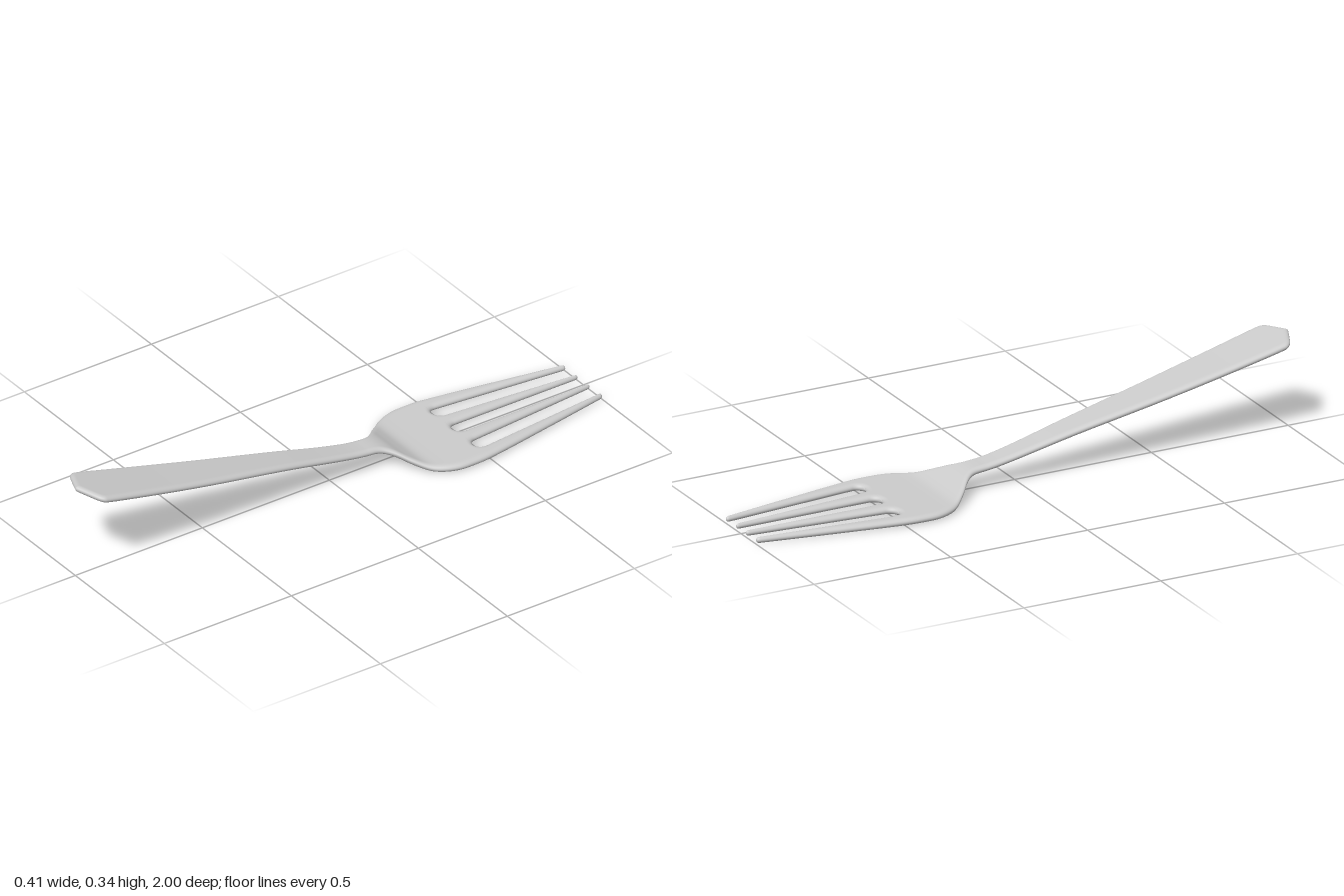
import * as THREE from 'three';
import { mergeVertices } from 'three/addons/utils/BufferGeometryUtils.js';

// smooth curve through [z, value] points, sorted by z
function curve(pts) {
  const slope = i => {
    const a = pts[Math.max(i - 1, 0)], b = pts[Math.min(i + 1, pts.length - 1)];
    return (b[1] - a[1]) / (b[0] - a[0]);
  };
  return z => {
    let i = 0;
    while (i < pts.length - 2 && z > pts[i + 1][0]) i++;
    const [z0, v0] = pts[i], [z1, v1] = pts[i + 1], d = z1 - z0, t = (z - z0) / d;
    const t2 = t * t, t3 = t2 * t;
    return v0 * (2 * t3 - 3 * t2 + 1) + v1 * (3 * t2 - 2 * t3)
      + d * (slope(i) * (t3 - 2 * t2 + t) + slope(i + 1) * (t3 - t2));
  };
}

// half width of the outline and height of the middle surface along z
const halfWidth = curve([[-1, 0.111], [-0.75, 0.157], [-0.5, 0.2], [-0.43, 0.204], [-0.37, 0.199],
  [-0.31, 0.172], [-0.25, 0.118], [-0.21, 0.074], [-0.18, 0.05], [-0.15, 0.043], [0, 0.046],
  [0.2, 0.057], [0.6, 0.083], [0.88, 0.097], [0.94, 0.098], [0.952, 0.094], [0.965, 0.08],
  [0.98, 0.047], [1, 0]]);
const midHeight = curve([[-1, 0.0125], [-0.5, 0.0125], [-0.33, 0.0125], [-0.29, 0.017], [-0.25, 0.035],
  [-0.21, 0.057], [-0.17, 0.069], [-0.1, 0.077], [0, 0.097], [0.2, 0.144], [0.5, 0.209],
  [0.75, 0.267], [1, 0.328]]);

const HALF_THICK = 0.0125, EDGE = 0.018, SLOT_END = -0.485, TIP = 0.012;

// the four side-by-side strips [left, right] at z; they part where the slots begin
function strips(z) {
  const w = halfWidth(z), t = SLOT_END - z;
  let c = 0.577 * w, s = 0;
  if (t > 0) {
    const k = t / (SLOT_END + 1);
    c = THREE.MathUtils.lerp(0.116, 0.0675, k);
    s = THREE.MathUtils.lerp(0.03, 0.0275, k);
    if (t < 0.03) s *= Math.sqrt(1 - (1 - t / 0.03) ** 2);
  }
  // rounded tine tips
  const q = Math.max(0, (TIP - 1 - z) / TIP), f = Math.sqrt(Math.max(0, 1 - q * q));
  return [[-w, -c - s], [-c + s, -s], [s, c - s], [c + s, w]].map(([l, r]) => {
    const m = (l + r) / 2, h = (r - l) / 2 * f;
    return [m - h, m + h];
  });
}

// rows from a to b, packed towards a when power > 1
function span(a, b, n, power = 1) {
  return Array.from({ length: n }, (_, i) => a + (b - a) * (i / n) ** power);
}

function forkGeometry() {
  const rows = [
    ...span(1, 0.93, 22), ...span(0.93, -0.12, 36), ...span(-0.12, -0.4, 36),
    ...span(-0.4, SLOT_END + 0.022, 5), ...span(SLOT_END + 0.022, SLOT_END, 9),
    ...span(SLOT_END, SLOT_END - 0.03, 10, 2), ...span(SLOT_END - 0.03, TIP - 1, 26),
    ...span(TIP - 1, -1, 6), -1];
  const bounds = rows.map(strips);

  // outline segments: both outer sides and every open slot side
  const edges = [];
  for (let i = 0; i < rows.length - 1; i++) {
    for (let k = 0; k < 4; k++) for (let side = 0; side < 2; side++) {
      const outer = (k === 0 && side === 0) || (k === 3 && side === 1);
      if (outer || rows[i + 1] < SLOT_END - 1e-9) {
        edges.push([bounds[i][k][side], rows[i], bounds[i + 1][k][side], rows[i + 1]]);
      }
    }
  }
  // the thickness rounds off near the outline
  const thickness = (x, z) => {
    let best = EDGE * EDGE;
    for (const [x0, z0, x1, z1] of edges) {
      if (z > z0 + EDGE || z < z1 - EDGE) continue;
      const dx = x1 - x0, dz = z1 - z0;
      const t = THREE.MathUtils.clamp(((x - x0) * dx + (z - z0) * dz) / (dx * dx + dz * dz), 0, 1);
      best = Math.min(best, (x - x0 - t * dx) ** 2 + (z - z0 - t * dz) ** 2);
    }
    const d = Math.sqrt(best);
    return d < 1e-6 ? 0 : HALF_THICK * Math.sqrt(1 - (1 - d / EDGE) ** 2);
  };

  // upper and lower skins over each strip
  const N = 12, position = [], index = [];
  for (let k = 0; k < 4; k++) {
    const base = position.length / 3;
    rows.forEach((z, i) => {
      const [l, r] = bounds[i][k], y = midHeight(z);
      for (let j = 0; j <= N; j++) {
        const x = j === N ? r : l + (r - l) * (1 - Math.cos(Math.PI * j / N)) / 2;
        const h = thickness(x, z);
        position.push(x, y + h, z, x, y - h, z);
      }
    });
    const id = (i, j, low) => base + (i * (N + 1) + j) * 2 + low;
    for (let i = 0; i < rows.length - 1; i++) for (let j = 0; j < N; j++) {
      for (let low = 0; low < 2; low++) {
        const a = id(i, j, low), b = id(i, j + 1, low), c = id(i + 1, j, low), d = id(i + 1, j + 1, low);
        if (low) index.push(a, c, b, b, c, d);
        else index.push(a, b, c, b, d, c);
      }
    }
  }
  let geo = new THREE.BufferGeometry();
  geo.setAttribute('position', new THREE.Float32BufferAttribute(position, 3));
  geo.setIndex(index);
  geo = mergeVertices(geo, 1e-5);

  // drop collapsed triangles at the ends
  const ix = geo.index.array, kept = [];
  for (let i = 0; i < ix.length; i += 3) {
    const [a, b, c] = [ix[i], ix[i + 1], ix[i + 2]];
    if (a !== b && b !== c && a !== c) kept.push(a, b, c);
  }
  geo.setIndex(kept);
  geo.computeVertexNormals();
  return geo;
}

export function createModel() {
  const group = new THREE.Group();
  group.name = 'fork';
  const mesh = new THREE.Mesh(forkGeometry(), new THREE.MeshStandardMaterial({ color: 0xcccccc }));
  mesh.name = 'handleHeadAndTines';
  group.add(mesh);
  return group;
}
